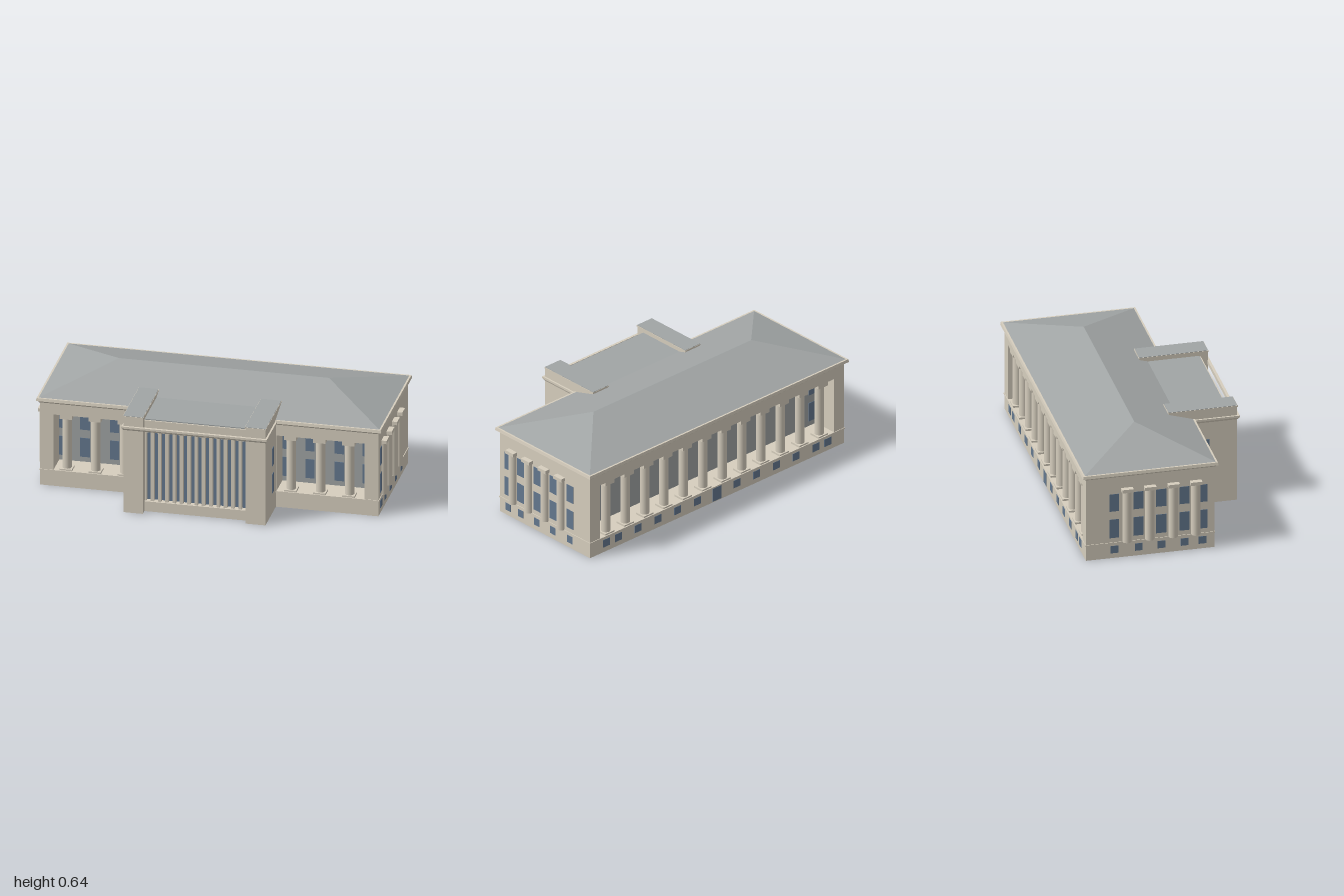
import * as THREE from 'three';

export function createModel() {
  const model = new THREE.Group();
  model.name = 'building';
  const mat = (name, color) => {
    const m = new THREE.MeshStandardMaterial({ color });
    m.name = name;
    return m;
  };
  const stone = mat('stone', 0xd6cebe);
  const slate = mat('slate', 0xa1a5a5);
  const glass = mat('glass', 0x64788f);

  const add = (name, geometry, material) => {
    const mesh = new THREE.Mesh(geometry, material);
    mesh.name = name;
    model.add(mesh);
    return mesh;
  };
  // Box given by its limits on each axis
  const box = (name, m, x0, x1, y0, y1, z0, z1) => {
    const mesh = add(name, new THREE.BoxGeometry(x1 - x0, y1 - y0, z1 - z0), m);
    mesh.position.set((x0 + x1) / 2, (y0 + y1) / 2, (z0 + z1) / 2);
    return mesh;
  };
  // Box whose top rectangle differs from its bottom one: [x0, x1, z0, z1]
  const taper = (name, m, bottom, y0, top, y1) => {
    const g = new THREE.BoxGeometry(1, 1, 1).toNonIndexed();
    const p = g.attributes.position;
    for (let i = 0; i < p.count; i++) {
      const up = p.getY(i) > 0;
      const r = up ? top : bottom;
      p.setXYZ(i, p.getX(i) < 0 ? r[0] : r[1], up ? y1 : y0, p.getZ(i) < 0 ? r[2] : r[3]);
    }
    g.computeVertexNormals();
    return add(name, g, m);
  };

  const X = 0.965, ZB = -0.495, ZF = 0.24, T = 0.006;
  const PL = -0.43, PR = 0.38, IL = -0.32, IR = 0.265, PF = 0.5, HOLE = 0.13;
  const ROWS = [[0.125, 0.24], [0.29, 0.397]];

  // Basement: walls open underneath, floor slab cut away behind the portico
  box('basementRearWall', stone, -X, X, 0, 0.095, ZB, ZB + T);
  box('basementLeftWall', stone, X - T, X, 0, 0.095, ZB, ZF);
  box('basementRightWall', stone, -X, T - X, 0, 0.095, ZB, ZF);
  box('floorSlab', stone, -X, X, 0.089, 0.095, ZB, HOLE);
  for (const [a, b] of [[-X, PL], [PR, X]]) {
    box('basementFrontWall', stone, a, b, 0, 0.095, ZF - T, ZF);
    box('frontFloorSlab', stone, a, b, 0.089, 0.095, HOLE, ZF);
    box('frontLedge', stone, a, b, 0.089, 0.097, ZF - T, ZF + 0.004);
  }
  box('rearLedge', stone, -X, X, 0.089, 0.097, ZB - 0.004, ZB + T);
  for (const s of [-1, 1])
    box('sideLedge', stone, s * X - 0.004, s * X + 0.004, 0.089, 0.097, ZB - 0.004, ZF + 0.004);

  // Main storey: lintel, end walls and recessed core
  box('lintel', stone, -X, X, 0.435, 0.507, ZB, ZF);
  box('leftEndWall', stone, 0.887, X, 0.095, 0.435, ZB, ZF);
  box('rightEndWall', stone, -X, -0.89, 0.095, 0.435, ZB, ZF);
  box('recessedWall', slate, -0.89, 0.887, 0.095, 0.435, -0.345, 0.09);

  // Cornice and hipped roof
  const rim = (o) => [-X - o, X + o, ZB - o, ZF + o];
  taper('corniceUnderside', stone, rim(0.004), 0.503, rim(0.014), 0.516);
  taper('cornice', stone, rim(0.02), 0.516, rim(0.017), 0.533);
  taper('hippedRoof', slate, rim(0.01), 0.532, [-0.6, 0.6, -0.131, -0.129], 0.645);

  // Columns with plinth and capital
  const shaft = new THREE.CylinderGeometry(0.0265, 0.0265, 0.315, 20, 1, true);
  const column = (x, z, w = 0.07) => {
    add('column', shaft, stone).position.set(x, 0.2525, z);
    box('columnCapital', stone, x - w / 2, x + w / 2, 0.41, 0.436, z - 0.034, z + 0.034);
    box('columnPlinth', stone, x - w / 2, x + w / 2, 0.095, 0.106, z - 0.034, z + 0.034);
  };
  for (const x of [-0.82, -0.655, -0.49, 0.46, 0.627, 0.793]) column(x, 0.203);
  for (let i = 0; i < 12; i++) column(-0.81 + i * 0.1473, -0.458);

  // Windows on the recessed walls
  const frontBays = [[-0.89, -0.855], [-0.77, -0.715], [-0.6, -0.55], [-0.455, -0.43],
    [0.385, 0.42], [0.515, 0.567], [0.682, 0.735], [0.84, 0.887]];
  for (const [y0, y1] of ROWS) {
    for (const [a, b] of frontBays) box('frontWindow', glass, a, b, y0, y1, 0.089, 0.093);
    for (const [a, b] of [[-0.885, -0.835], [0.835, 0.885]])
      box('rearWindow', glass, a, b, y0, y1, -0.348, -0.344);
  }

  // Both ends: engaged columns and windows
  const sideBays = [[0.14, 0.2], [0.04, 0.098], [-0.093, -0.035], [-0.222, -0.165], [-0.36, -0.305]];
  for (const s of [-1, 1]) {
    const plate = (name, x, y0, y1, z0, z1) => box(name, glass, x - 0.002, x + 0.002, y0, y1, z0, z1);
    for (const z of [0.133, 0.004, -0.13, -0.26]) {
      add('sideColumn', shaft, stone).position.set(s * X, 0.2525, z);
      box('sideCapital', stone, s * X - 0.03, s * X + 0.03, 0.41, 0.43, z - 0.033, z + 0.033);
    }
    for (const [y0, y1] of ROWS) {
      for (const [a, b] of sideBays) plate('sideWindow', s * X, y0, y1, a, b);
      const wall = s > 0 ? PR : PL;
      box('porticoWindow', glass, wall - (s > 0 ? 0.002 : 0.003), wall + (s > 0 ? 0.003 : 0.002), y0, y1, 0.303, 0.342);
    }
    for (const z of [0.172, 0.07, -0.063, -0.193, -0.332])
      plate('basementWindow', s * X, 0.03, 0.075, z - 0.022, z + 0.022);
  }

  // Rear basement windows and door
  for (const x of [0.15, 0.3, 0.45, 0.6, 0.75, 0.84])
    for (const s of [-1, 1])
      box('rearBasementWindow', glass, s * x - 0.026, s * x + 0.026, 0.03, 0.077, ZB - 0.002, ZB + 0.002);
  box('rearDoor', glass, -0.034, 0.034, 0.005, 0.087, ZB - 0.002, ZB + 0.002);

  // Portico piers: hollow shells open underneath, with parapet blocks on top
  for (const [a, b, outer] of [[PL, IL, -1], [IR, PR, 1]]) {
    box('pierFront', stone, a, b, 0, 0.507, PF - T, PF);
    box('pierLeftSide', stone, b - T, b, 0, 0.507, outer > 0 ? ZF - T : 0.41, PF);
    box('pierRightSide', stone, a, a + T, 0, 0.507, outer < 0 ? ZF - T : 0.41, PF);
    box('parapetBlock', stone, a, b, 0.505, 0.58, 0.11, PF);
    box('parapetCap', stone, a - 0.003, b + 0.003, 0.58, 0.587, 0.105, PF + 0.003);
    box('parapetRoof', slate, a - 0.001, b + 0.001, 0.585, 0.589, 0.107, PF + 0.001);
    // Wall between the wing recess and the portico interior
    const c = outer > 0 ? PR : PL;
    box('recessEndWall', stone, c - T / 2, c + T / 2, 0.09, 0.435, 0.09, ZF);
    // Cornice returning along the side of the portico
    taper('porticoSideUnderside', stone, [c - 0.003, c + 0.003, ZF, PF + 0.003], 0.503,
      [c - 0.008, c + 0.008, ZF, PF + 0.01], 0.515);
    box('porticoSideCornice', stone, c - 0.01, c + 0.01, 0.515, 0.527, ZF, PF + 0.013);
  }
  taper('porticoUnderside', stone, [PL - 0.003, PR + 0.003, PF - 0.002, PF + 0.003], 0.503,
    [PL - 0.008, PR + 0.008, PF - 0.002, PF + 0.01], 0.515);
  box('porticoCornice', stone, PL - 0.01, PR + 0.01, 0.515, 0.527, PF - 0.002, PF + 0.013);

  // Portico centre: base, glazing, fins, lintel and flat roof
  box('porticoBase', stone, IL, IR, 0, 0.06, 0.454, 0.46);
  box('porticoSill', stone, IL, IR, 0.054, 0.06, 0.41, 0.46);
  box('glazingBacking', stone, IL, IR, 0.054, 0.482, 0.41, 0.42);
  box('porticoGlazing', glass, IL, IR, 0.06, 0.482, 0.419, 0.424);
  box('porticoLintel', stone, IL, IR, 0.482, 0.554, 0.17, 0.46);
  box('porticoRoof', slate, IL, IR, 0.551, 0.56, 0.13, 0.452);
  const pitch = (IR - IL) / 14;
  for (let i = 0; i <= 14; i++) {
    const x = IL + i * pitch;
    box('porticoFin', stone, Math.max(IL, x - 0.0095), Math.min(IR, x + 0.0095), 0.06, 0.482, 0.422, 0.45);
  }
  return model;
}
